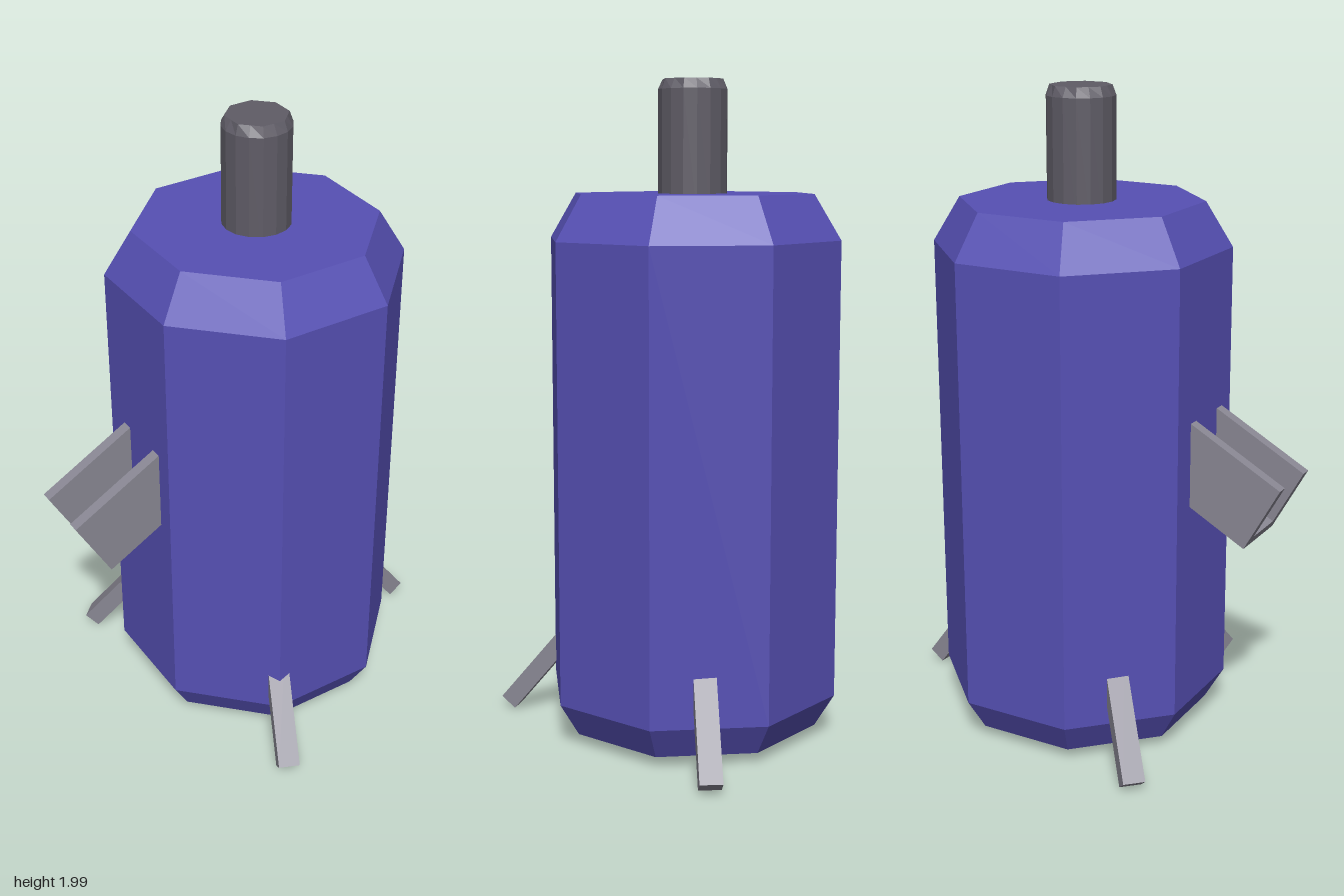
import * as THREE from 'three';

const CX = 0.058, CZ = -0.088; // axis of the tank
const material = (color) => new THREE.MeshStandardMaterial({ color, flatShading: true });

// Faceted solid of revolution from [radius, y] pairs, bottom to top
function turned(name, profile, sides, mat) {
  const points = profile.map(([r, y]) => new THREE.Vector2(r, y));
  const mesh = new THREE.Mesh(new THREE.LatheGeometry(points, sides), mat);
  mesh.name = name;
  return mesh;
}

// Bar pointing outward (+z) and sloping down; its outer end is centred on (x, y, r)
function bar(name, [w, h, length], [x, y, r], slopeDeg, mat) {
  const t = THREE.MathUtils.degToRad(slopeDeg);
  const mesh = new THREE.Mesh(new THREE.BoxGeometry(w, h, length), mat);
  mesh.position.set(x, y + Math.sin(t) * length / 2, r - Math.cos(t) * length / 2);
  mesh.rotation.x = t;
  mesh.name = name;
  return mesh;
}

export function createModel() {
  const model = new THREE.Group();
  model.name = 'tank';
  const blue = material(0x5650b4);
  const dark = material(0x5f5c66);
  const grey = material(0x8a8894);

  const axis = new THREE.Group();
  axis.name = 'tankAssembly';
  axis.position.set(CX, 0, CZ);
  model.add(axis);

  // Eight-sided body with chamfered ends
  axis.add(turned('body',
    [[0, 0.045], [0.392, 0.045], [0.452, 0.145], [0.452, 1.53], [0.37, 1.665], [0, 1.665]], 8, blue));

  // Round pipe on top, its rim closing to an octagon
  const pipe = turned('topPipe', [[0.104, 1.6], [0.104, 1.97], [0.093, 2], [0, 2]], 16, dark);
  const p = pipe.geometry.attributes.position;
  for (let i = 0; i < p.count; i++) {
    const side = Math.floor(i / 4);
    if (p.getY(i) > 1.99 && side % 2) {
      const k = Math.cos(Math.PI / 8);
      p.setX(i, p.getX(i) * k);
      p.setZ(i, p.getZ(i) * k);
    }
  }
  axis.add(pipe);

  // Parts set around the body, turned to face outward
  const spoke = (name, deg, ...parts) => {
    const group = new THREE.Group();
    group.name = name;
    group.rotation.y = THREE.MathUtils.degToRad(deg);
    group.add(...parts);
    axis.add(group);
  };

  // Three splayed legs
  const legSize = [0.067, 0.056, 0.4];
  spoke('frontLeg', 0, bar('frontLegBar', legSize, [0, 0.032, 0.604], 50, grey));
  spoke('leftLeg', 110.7, bar('leftLegBar', legSize, [0, 0.035, 0.58], 53, grey));
  spoke('rightLeg', -113.5, bar('rightLegBar', legSize, [0, 0.029, 0.584], 53, grey));

  // Sloping chute: two side plates and a floor
  spoke('chute', -67.5,
    bar('chuteSideBack', [0.035, 0.227, 0.35], [-0.074, 0.795, 0.65], 29, grey),
    bar('chuteSideFront', [0.035, 0.227, 0.35], [0.1, 0.795, 0.65], 29, grey),
    bar('chuteFloor', [0.139, 0.035, 0.35], [0.013, 0.711, 0.6035], 29, grey));

  return model;
}
